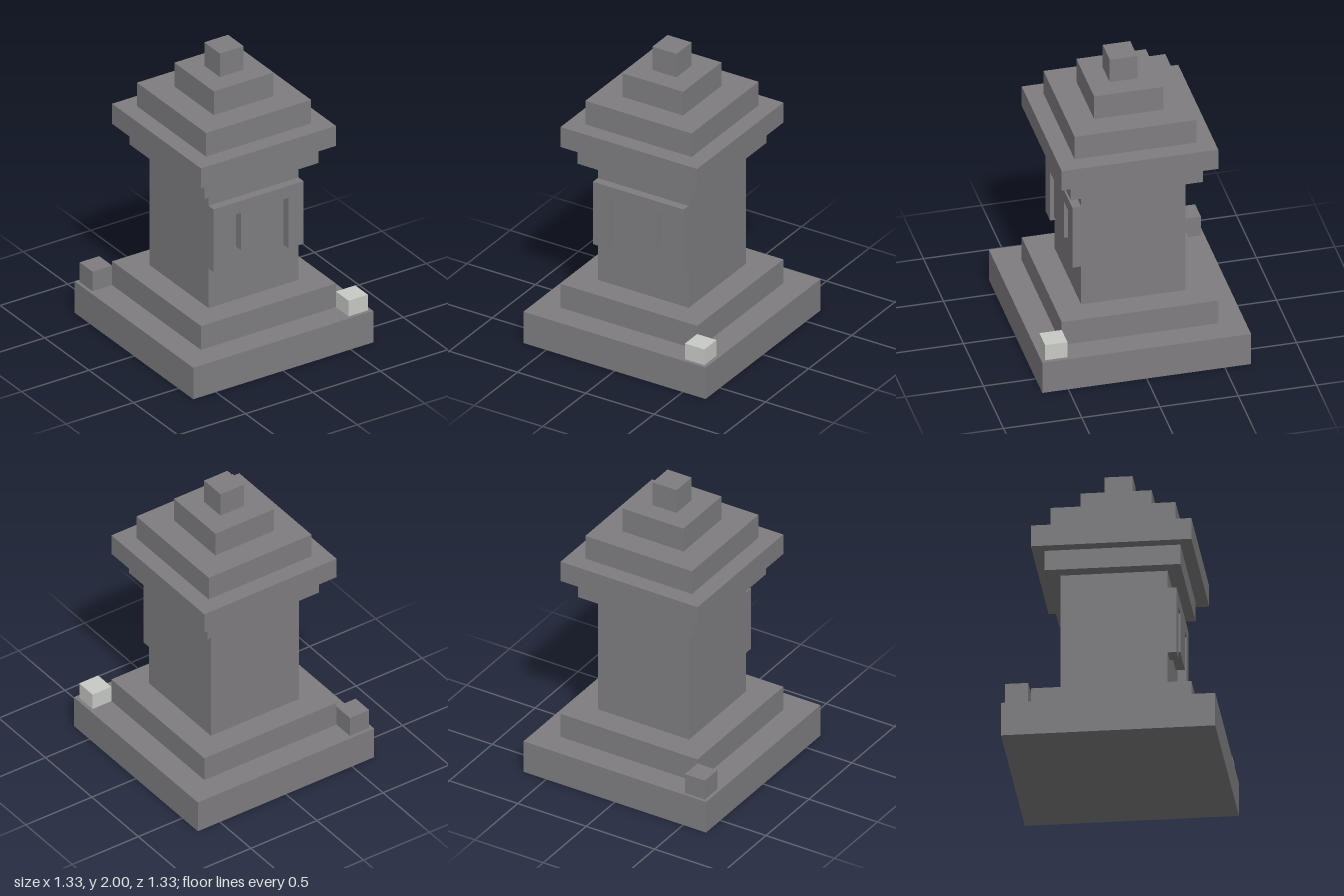
import * as THREE from 'three';

export function createModel() {
  const model = new THREE.Group();
  model.name = 'steppedMonument';
  const stone = new THREE.MeshStandardMaterial({ color: 0x7f7d80 });
  stone.name = 'grey stone';
  const pale = new THREE.MeshStandardMaterial({ color: 0xc8cac6 });
  pale.name = 'pale stone';

  // Box given by its lower and upper bounds on each axis
  function block(name, [x0, x1], [y0, y1], [z0, z1], material = stone) {
    const mesh = new THREE.Mesh(new THREE.BoxGeometry(x1 - x0, y1 - y0, z1 - z0), material);
    mesh.position.set((x0 + x1) / 2, (y0 + y1) / 2, (z0 + z1) / 2);
    mesh.name = name;
    model.add(mesh);
  }

  // Square tiers, from the ground up: name, half width, bottom, top
  const tiers = [
    ['base', 0.667, 0, 0.222],
    ['plinth', 0.5, 0.222, 0.39],
    ['shaft', 0.333, 0.39, 1.228],
    ['cornice', 0.423, 1.228, 1.36],
    ['eaves', 0.5, 1.36, 1.502],
    ['lowerRoofStep', 0.389, 1.502, 1.668],
    ['upperRoofStep', 0.222, 1.668, 1.835],
    ['finial', 0.088, 1.835, 2],
  ];
  for (const [name, h, y0, y1] of tiers) block(name, [-h, h], [y0, y1], [-h, h]);

  // Raised frame and plaque on the front of the shaft
  const relief = [0.333, 0.39];
  block('frameLintel', [-0.333, 0.333], [1.028, 1.112], relief);
  block('leftFramePost', [0.222, 0.333], [0.67, 1.028], relief);
  block('rightFramePost', [-0.333, -0.222], [0.67, 1.028], relief);
  block('plaque', [-0.13, 0.13], [0.763, 1.028], relief);

  // Small blocks on two opposite corners of the base
  block('frontCornerBlock', [0.5, 0.643], [0.222, 0.333], [0.5, 0.643], pale);
  block('backCornerBlock', [-0.645, -0.5], [0.222, 0.36], [-0.645, -0.5]);

  return model;
}
